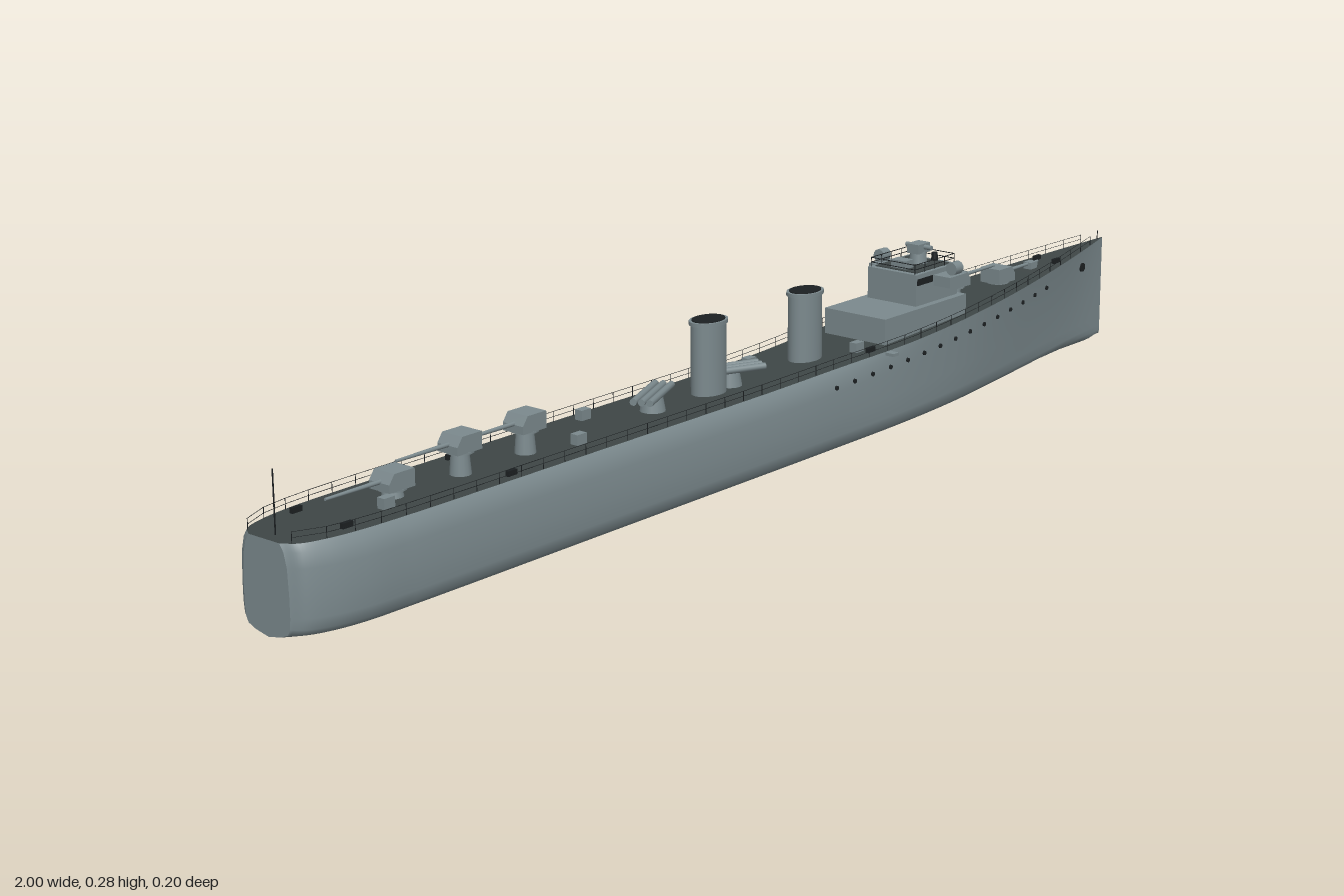
import * as THREE from 'three';

const mat = (name, color, side = THREE.FrontSide) => {
  const m = new THREE.MeshStandardMaterial({ color, side });
  m.name = name;
  return m;
};

export function createModel() {
  const grey = mat('ship grey', 0x7b898d);
  const deckMat = mat('deck dark grey', 0x3e4646);
  const black = mat('fittings black', 0x1c2022);
  const ship = new THREE.Group();
  ship.name = 'warship';
  ship.position.z = -0.003;

  const add = (name, geo, m, x = 0, y = 0, z = 0, parent = ship) => {
    const mesh = new THREE.Mesh(geo, m);
    mesh.name = name;
    mesh.position.set(x, y, z);
    parent.add(mesh);
    return mesh;
  };
  const box = (name, m, w, h, d, x, y, z, parent) =>
    add(name, new THREE.BoxGeometry(w, h, d), m, x, y, z, parent);
  const cyl = (name, m, r0, r1, h, x, y, z, parent, n = 14) =>
    add(name, new THREE.CylinderGeometry(r0, r1, h, n), m, x, y, z, parent);
  const group = (name, x, y, z) => {
    const g = new THREE.Group();
    g.name = name;
    g.position.set(x, y, z);
    ship.add(g);
    return g;
  };

  // Hull plan: x, half width of deck, half width at waterline
  const plan = new THREE.CatmullRomCurve3([
    [-1, 0.03, 0.045], [-0.985, 0.05, 0.064], [-0.95, 0.063, 0.08], [-0.9, 0.071, 0.09],
    [-0.82, 0.075, 0.093], [-0.4, 0.076, 0.094], [0.1, 0.078, 0.094], [0.3, 0.087, 0.091],
    [0.45, 0.082, 0.08], [0.6, 0.068, 0.059], [0.75, 0.047, 0.035], [0.9, 0.021, 0.012], [1, 0.001, 0.001],
  ].map(p => new THREE.Vector3(...p)));
  const deckY = x => 0.137 + 0.048 * Math.max(0, (x + 0.1) / 1.1) ** 1.6;
  const at = x => {
    let lo = 0, hi = 1;
    for (let i = 0; i < 24; i++) {
      const t = (lo + hi) / 2;
      if (plan.getPoint(t).x < x) lo = t; else hi = t;
    }
    return plan.getPoint((lo + hi) / 2);
  };
  const halfSection = p => {
    const { x, y: d, z: w } = p, k = deckY(x) / 0.137;
    const f = THREE.MathUtils.smoothstep(x, 0.05, 0.5);
    const mix = (a, b) => w + (d - w) * (a + (b - a) * f);
    const rise = 0.009 * THREE.MathUtils.smoothstep(x, 0.96, 1);
    return [
      [d, deckY(x)], [mix(0.5, 0.85), 0.126 * k], [mix(0.14, 0.6), 0.105 * k], [mix(0, 0.2), 0.065 * k],
      [w, 0.036], [w * 0.97, 0.02], [w * 0.87, 0.011], [w * 0.55, 0.005], [0, rise],
    ];
  };
  const ring = p => {
    const h = halfSection(p);
    return [...h, ...h.slice(0, -1).reverse().map(([z, y]) => [-z, y])]
      .map(([z, y]) => [p.x, y, z]);
  };
  const loft = rows => {
    const n = rows[0].length, index = [];
    for (let i = 0; i < rows.length - 1; i++)
      for (let j = 0; j < n - 1; j++) {
        const a = i * n + j, b = a + n;
        index.push(a, a + 1, b, b, a + 1, b + 1);
      }
    const g = new THREE.BufferGeometry();
    g.setAttribute('position', new THREE.Float32BufferAttribute(rows.flat(2), 3));
    g.setIndex(index);
    g.computeVertexNormals();
    return g;
  };
  const stations = Array.from({ length: 73 }, (_, i) => plan.getPoint(i / 72));
  add('hull', loft(stations.map(ring)), grey);
  const stern = ring(stations[0]);
  add('sternPlate', loft([stern.map(([x, y]) => [x, y, 0]), stern]), grey);
  add('deck', loft(stations.map(p => [-p.y, 0, p.y].map(z => [p.x, deckY(p.x), z]))), deckMat);

  // Portholes and anchor openings on both sides
  const hullZ = (x, y) => {
    const h = halfSection(at(x));
    const i = h.findIndex((q, k) => k > 0 && q[1] <= y);
    const [z0, y0] = h[i - 1], [z1, y1] = h[i];
    return z0 + (z1 - z0) * (y0 - y) / (y0 - y1);
  };
  for (const s of [1, -1]) {
    for (let x = 0.1; x < 0.78; x += 0.047) {
      const y = deckY(x) - 0.026;
      cyl('porthole', black, 0.0038, 0.0038, 0.005, x, y, s * hullZ(x, y), ship, 10).rotation.x = Math.PI / 2;
    }
    cyl('hawsePipe', black, 0.008, 0.008, 0.006, 0.91, 0.148, s * hullZ(0.91, 0.148), ship, 12).rotation.x = Math.PI / 2;
  }

  // Deck edge railings
  const rod = (name, a, b, r = 0.0007) => {
    const d = b.clone().sub(a), m = cyl(name, black, r, r, d.length(), 0, 0, 0, ship, 4);
    m.position.copy(a).addScaledVector(d, 0.5);
    m.quaternion.setFromUnitVectors(new THREE.Vector3(0, 1, 0), d.normalize());
  };
  for (const s of [1, -1]) {
    let last = null;
    for (let x = -0.99; x < 0.99; x += 0.044) {
      const p = at(x), foot = new THREE.Vector3(x, deckY(x), s * (p.y - 0.002));
      rod('railPost', foot, foot.clone().setY(foot.y + 0.016));
      if (last) for (const h of [0.008, 0.016])
        rod('railWire', last.clone().setY(last.y + h), foot.clone().setY(foot.y + h), 0.0004);
      last = foot;
    }
  }

  // Lower deckhouse and bridge
  box('deckhouse', grey, 0.225, 0.052, 0.124, 0.375, 0.162, 0);
  box('bridge', grey, 0.115, 0.056, 0.1, 0.42, 0.213, 0);
  box('bridgeWings', grey, 0.05, 0.018, 0.168, 0.435, 0.224, 0);
  box('bridgeFloor', deckMat, 0.095, 0.002, 0.085, 0.42, 0.2415, 0);
  for (let i = -2; i <= 2; i++) box('bridgeWindow', black, 0.003, 0.013, 0.014, 0.4775, 0.228, i * 0.0175);
  for (const s of [1, -1]) {
    for (let i = 0; i < 3; i++) box('sideWindow', black, 0.014, 0.011, 0.003, 0.372 + i * 0.014, 0.228, s * 0.0495);
    const lamp = group('searchlight', 0.435, 0.244, s * 0.075);
    cyl('lampDrum', grey, 0.011, 0.011, 0.02, 0, 0, 0, lamp).rotation.z = Math.PI / 2;
    cyl('lampGlass', black, 0.009, 0.009, 0.002, 0.0105, 0, 0, lamp).rotation.z = Math.PI / 2;
    cyl('lampPost', grey, 0.004, 0.004, 0.016, 0, -0.008, 0, lamp);
    for (const y of [0.249, 0.257]) {
      rod('bridgeSideRail', new THREE.Vector3(0.365, y, s * 0.045), new THREE.Vector3(0.475, y, s * 0.045));
      rod('bridgeEndRail', new THREE.Vector3(s > 0 ? 0.475 : 0.365, y, -0.045), new THREE.Vector3(s > 0 ? 0.475 : 0.365, y, 0.045));
    }
    for (let i = 0; i < 5; i++) {
      const a = new THREE.Vector3(0.365 + i * 0.0275, 0.24, s * 0.045);
      rod('bridgeRailPost', a, a.clone().setY(0.257));
    }
  }

  // Rangefinder and director on the bridge
  cyl('directorBase', grey, 0.013, 0.016, 0.022, 0.435, 0.251, 0);
  box('director', grey, 0.032, 0.016, 0.024, 0.435, 0.268, 0);
  cyl('rangefinder', grey, 0.004, 0.004, 0.052, 0.437, 0.27, 0).rotation.x = Math.PI / 2;
  box('chartTable', grey, 0.022, 0.014, 0.03, 0.39, 0.249, 0);
  cyl('compass', black, 0.005, 0.006, 0.014, 0.465, 0.249, 0.012);

  // Deck guns: shield, pedestal and barrel; dir is the facing along x
  const gun = (x, y, dir) => {
    const g = group('deckGun', x, y, 0);
    const base = deckY(x) - y;
    cyl('pedestal', grey, 0.013, 0.016, -base, 0, base / 2, 0, g);
    cyl('gunPlatform', grey, 0.021, 0.021, 0.003, 0, -0.001, 0, g);
    const s = new THREE.Shape([[-0.024, 0], [0.024, 0], [0.024, 0.012], [0.014, 0.026], [-0.024, 0.026]]
      .map(p => new THREE.Vector2(...p)));
    const geo = new THREE.ExtrudeGeometry(s, { depth: 0.04, bevelEnabled: false }).translate(0, 0, -0.02);
    add('gunShield', geo, grey, 0, 0, 0, g);
    cyl('barrel', grey, 0.0022, 0.0035, 0.1, 0.072, 0.013, 0, g, 10).rotation.z = -Math.PI / 2;
    if (dir < 0) g.rotation.y = Math.PI;
  };
  gun(0.535, 0.183, 1);
  gun(0.67, 0.166, 1);
  gun(-0.51, 0.172, -1);
  gun(-0.64, 0.172, -1);
  gun(-0.77, 0.15, -1);

  // Oval funnels with dark mouths
  for (const x of [-0.105, 0.132]) {
    const f = group('funnel', x, 0, 0);
    f.scale.z = 0.75;
    cyl('funnelBody', grey, 0.032, 0.032, 0.118, 0, 0.194, 0, f, 24);
    cyl('funnelRim', grey, 0.035, 0.035, 0.006, 0, 0.25, 0, f, 24);
    cyl('funnelMouth', black, 0.03, 0.03, 0.002, 0, 0.2535, 0, f, 24);
    cyl('steamPipe', grey, 0.004, 0.004, 0.115, 0.036, 0.193, 0, f, 8);
  }

  // Torpedo tube mounts
  for (const [x, turn] of [[-0.235, 0.42], [-0.055, -0.42]]) {
    const t = group('torpedoMount', x, deckY(x), 0);
    t.rotation.y = turn;
    cyl('mountBase', grey, 0.016, 0.02, 0.022, 0, 0.011, 0, t);
    for (const z of [-0.013, 0, 0.013])
      cyl('torpedoTube', grey, 0.0055, 0.0055, 0.11, 0, 0.027, z, t, 10).rotation.z = Math.PI / 2;
  }

  // Lockers, vents and bollards
  for (const [x, z] of [[-0.335, -0.05], [-0.81, 0.03], [-0.72, -0.035], [-0.43, 0.03], [0.04, -0.04], [0.21, 0.045]])
    box('locker', grey, 0.02, 0.016, 0.014, x, deckY(x) + 0.008, z);
  for (const [x, z] of [[-0.9, 0.05], [-0.6, 0.06], [0.22, 0.065], [0.82, 0.02]])
    for (const s of [1, -1]) box('bollards', black, 0.018, 0.008, 0.006, x, deckY(x) + 0.004, s * z);
  box('capstan', grey, 0.02, 0.012, 0.016, 0.77, deckY(0.77) + 0.006, 0);
  box('sidePlatform', grey, 0.014, 0.005, 0.022, 0.24, 0.141, 0.091);

  // Flagstaffs
  rod('sternStaff', new THREE.Vector3(-0.98, 0.137, 0), new THREE.Vector3(-0.98, 0.228, 0), 0.0014);
  rod('bowStaff', new THREE.Vector3(0.985, 0.18, 0), new THREE.Vector3(0.985, 0.2, 0), 0.001);
  return ship;
}
